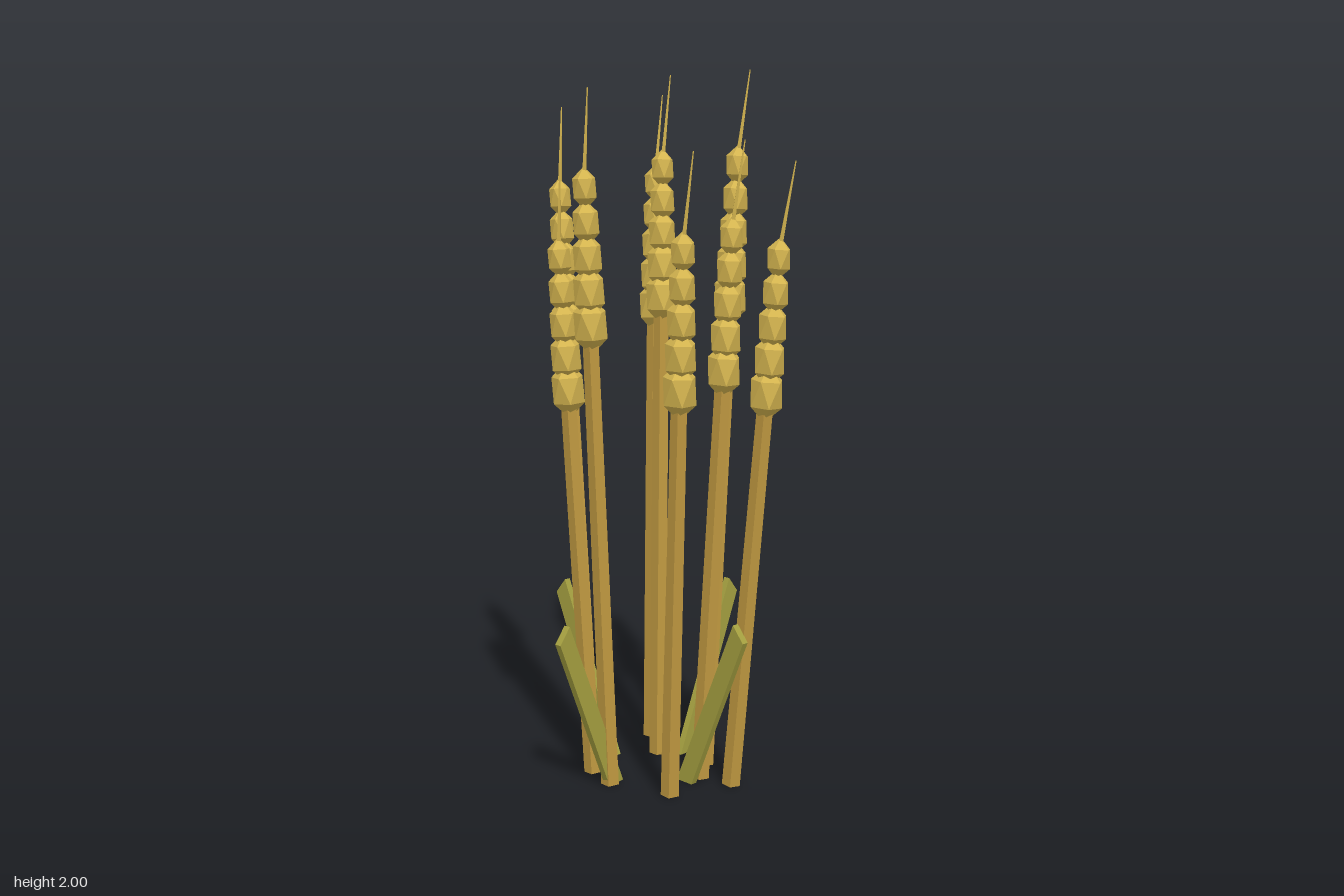
import * as THREE from 'three';

const mat = (name, color) => Object.assign(new THREE.MeshStandardMaterial({ color, flatShading: true }), { name });

export function createModel() {
  const model = new THREE.Group();
  model.name = 'wheatClump';
  const stemMat = mat('straw', 0xbf9840);
  const grainMat = mat('grain', 0xd6b650);
  const leafMat = mat('leafGreen', 0xa5a040);

  const add = (parent, name, geometry, material, x = 0, y = 0, z = 0) => {
    const mesh = new THREE.Mesh(geometry, material);
    mesh.name = name;
    mesh.position.set(x, y, z);
    parent.add(mesh);
    return mesh;
  };

  // Faceted grain with one vertex pointing up
  const grainGeo = new THREE.IcosahedronGeometry(1, 0);
  grainGeo.rotateZ(-Math.atan(2 / (1 + Math.sqrt(5))));

  // Awn: thin spike starting at its own origin
  const awnGeo = new THREE.CylinderGeometry(0.002, 0.008, 0.24, 4);
  awnGeo.translate(0, 0.12, 0);

  // Stalks: base x, base z, head x, head z, stem height
  const stalks = [
    [-0.265, 0, -0.36, 0, 1.23],
    [-0.185, -0.18, -0.252, -0.255, 1.27],
    [-0.07, -0.093, -0.092, -0.127, 1.31],
    [0.087, -0.132, 0.123, -0.185, 1.32],
    [0.147, -0.05, 0.208, -0.07, 1.13],
    [0.245, -0.075, 0.34, -0.098, 1.08],
    [0.176, 0.102, 0.248, 0.142, 1.10],
    [0, 0.167, 0, 0.232, 1.26],
    [-0.1, 0.142, -0.13, 0.2, 1.07],
  ];
  const up = new THREE.Vector3(0, 1, 0);
  for (const [bx, bz, hx, hz, h] of stalks) {
    const stalk = new THREE.Group();
    stalk.name = 'stalk';
    stalk.position.set(bx, 0.001, bz);
    const lean = new THREE.Vector3(hx - bx, h + 0.055, hz - bz).normalize();
    stalk.quaternion.setFromUnitVectors(up, lean);
    model.add(stalk);

    // Five-sided stem, ending inside the lowest grain
    const stemLength = h + 0.04;
    const stemGeo = new THREE.CylinderGeometry(0.023, 0.027, stemLength, 5);
    stemGeo.rotateY(Math.PI);
    add(stalk, 'stem', stemGeo, stemMat, 0, stemLength / 2, 0);

    // Five stacked grains, shrinking upward
    for (let i = 0; i < 5; i++) {
      const r = 0.051 - 0.0038 * i;
      const grain = add(stalk, 'grain', grainGeo, grainMat, 0, h + 0.057 + 0.091 * i, 0);
      grain.scale.set(r, r * 1.58, r);
    }

    // Awn bends slightly to one side
    const awn = add(stalk, 'awn', awnGeo, grainMat, 0, h + 0.441, 0);
    awn.rotation.z = -0.12;
  }

  // Leaves: slanted blades with a cut tip, leaning outward
  const blade = new THREE.Shape([
    new THREE.Vector2(0, 0),
    new THREE.Vector2(0.058, 0),
    new THREE.Vector2(0.25, 0.46),
    new THREE.Vector2(0.213, 0.505),
  ]);
  const leafGeo = new THREE.ExtrudeGeometry(blade, { depth: 0.02, bevelEnabled: false });
  leafGeo.translate(0, 0, -0.01);
  // Inner end x, z and heading
  const leaves = [
    [0.111, 0, 0],
    [-0.018, -0.127, Math.PI / 2 + 0.03],
    [-0.14, 0.006, Math.PI + 0.05],
    [-0.003, 0.125, -Math.PI / 2 + 0.08],
  ];
  for (const [x, z, yaw] of leaves) {
    add(model, 'leaf', leafGeo, leafMat, x, 0, z).rotation.y = yaw;
  }
  return model;
}
